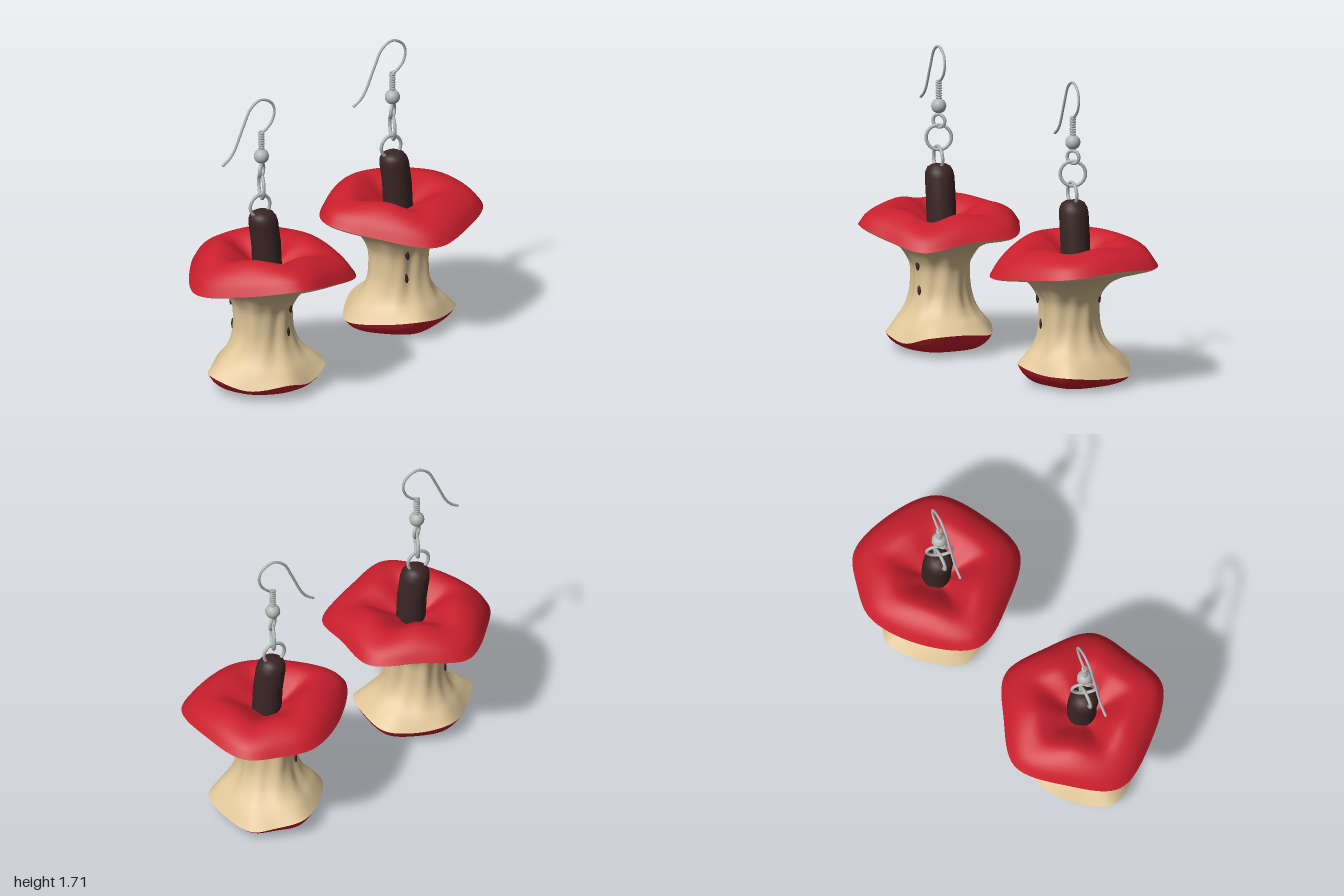
import * as THREE from 'three';

const mat = (name, color) => {
  const m = new THREE.MeshStandardMaterial({ color });
  m.name = name;
  return m;
};
const red = mat('red skin', 0xca1f2d);
const cream = mat('cream flesh', 0xdfc598);
const brown = mat('dark brown stem', 0x3a2524);
const steel = mat('steel wire', 0xb4b5b5);

function add(group, name, geometry, material, x = 0, y = 0, z = 0) {
  const mesh = new THREE.Mesh(geometry, material);
  mesh.name = name;
  mesh.position.set(x, y, z);
  group.add(mesh);
  return mesh;
}

// Closed surface of rings: point(column, t) for t from 0 to 1, smooth across the seam
function ringSurface(columns, rows, point) {
  const pos = [], index = [];
  for (let j = 0; j <= rows; j++) {
    for (let i = 0; i < columns; i++) pos.push(...point(i, j / rows));
  }
  for (let j = 0; j < rows; j++) {
    for (let i = 0; i < columns; i++) {
      const a = j * columns + i, b = j * columns + (i + 1) % columns;
      index.push(a, b, a + columns, b, b + columns, a + columns);
    }
  }
  const g = new THREE.BufferGeometry();
  g.setAttribute('position', new THREE.Float32BufferAttribute(pos, 3));
  g.setIndex(index);
  g.computeVertexNormals();
  return g;
}

const curve = (pts, closed = false) =>
  new THREE.CatmullRomCurve3(pts.map(p => new THREE.Vector3(...p)), closed);

// Profiles: [share of top rim, share of bottom rim, height]
const topProfile = curve([[0, 0, 0.69], [0.17, 0, 0.7], [0.3, 0, 0.735], [0.45, 0, 0.775],
  [0.6, 0, 0.795], [0.77, 0, 0.772], [0.91, 0, 0.725], [1, 0, 0.662]]);
const fleshProfile = curve([[1, 0, 0.662], [0.95, 0, 0.652], [0.75, 0, 0.638], [0.5, 0, 0.62],
  [0.27, 0, 0.58], [0.1, 0, 0.52], [0, 0, 0.45], [0, 0, 0.34], [0, 0.12, 0.265],
  [0, 0.35, 0.205], [0, 0.65, 0.16], [0, 1, 0.1]]);
const bottomProfile = curve([[0, 1, 0.1], [0, 0.92, 0.06], [0, 0.77, 0.022], [0, 0.57, 0.002],
  [0, 0.38, 0.002], [0, 0.18, 0.035], [0, 0, 0.07]]);

// Uneven radius of the eaten core
const coreRadius = (a, y, phase) => 0.163 * (1 + 0.05 * Math.cos(5 * a + phase)
  + 0.035 * Math.sin(3 * a - phase + 4 * y) + 0.025 * Math.cos(11 * a + 9 * y));

// outline rows: [angle in degrees, top radius, top height, bottom radius, bottom height]
// seeds: [angle in degrees, height]
function makeEarring(name, outline, seeds, phase, coreZ) {
  const group = new THREE.Group();
  group.name = name;
  const rim = (r, y) => curve(outline.map(o => {
    const a = THREE.MathUtils.degToRad(o[0]);
    return [Math.cos(a) * o[r], o[y], Math.sin(a) * o[r]];
  }), true);
  const columns = 90;
  const sample = c => Array.from({ length: columns }, (_, i) => c.getPoint(i / columns));
  const top = sample(rim(1, 2)), base = sample(rim(3, 4));

  // Skin cap with swells between its corners, eaten core and skin underside
  const skin = profile => (i, t) => {
    const p = profile.getPoint(t), T = top[i], B = base[i];
    const swell = Math.sin(Math.PI * p.x) * 0.45 * (0.45 - Math.hypot(T.x, T.z));
    const y = p.z + p.x ** 2 * (T.y - 0.67) + p.y ** 6 * (B.y - 0.1) + swell;
    return [T.x * p.x + B.x * p.y, Math.max(0, y), T.z * p.x + B.z * p.y];
  };
  const flesh = (i, t) => {
    const p = fleshProfile.getPoint(t), T = top[i], B = base[i];
    const a = Math.atan2(T.z, T.x), share = 1 - p.x - p.y;
    const r = coreRadius(a, p.z, phase);
    return [T.x * p.x + B.x * p.y + Math.cos(a) * r * share,
      p.z + p.x ** 2 * (T.y - 0.67) + p.y ** 2 * (B.y - 0.1),
      T.z * p.x + B.z * p.y + (Math.sin(a) * r + coreZ) * share];
  };
  add(group, 'topSkin', ringSurface(columns, 24, skin(topProfile)), red);
  add(group, 'core', ringSurface(columns, 40, flesh), cream);
  add(group, 'bottomSkin', ringSurface(columns, 20, skin(bottomProfile)), red);

  // Seeds showing through the core
  for (const [deg, y] of seeds) {
    const a = THREE.MathUtils.degToRad(deg);
    const r = coreRadius(a, y, phase) + (y > 0.45 ? 0.012 : 0.001);
    const seed = add(group, 'seed', new THREE.SphereGeometry(1, 12, 10), brown,
      Math.cos(a) * r, y, Math.sin(a) * r + coreZ);
    seed.scale.set(0.012, 0.029, 0.008);
    seed.rotation.set(0, Math.PI / 2 - a, 0.12);
  }

  // Leaning stem with a rounded top
  const stem = new THREE.LatheGeometry([[0.082, 0], [0.082, 0.15], [0.082, 0.27], [0.077, 0.3],
    [0.064, 0.325], [0.04, 0.338], [0, 0.342]].map(p => new THREE.Vector2(...p)), 32);
  const v = stem.attributes.position;
  for (let i = 0; i < v.count; i++) {
    const x = v.getX(i), y = v.getY(i);
    v.setXYZ(i, x + 0.022 - 0.35 * y * y, y + 0.1 * x * y / 0.34, v.getZ(i));
  }
  stem.computeVertexNormals();
  add(group, 'stem', stem, brown, 0, 0.685, 0);

  // Linked rings: [x, y, radius, turn]
  for (const [x, y, r, turn] of [[-0.025, 1.058, 0.064, 0], [-0.016, 1.174, 0.07, 1.2],
    [-0.014, 1.268, 0.036, 0.7]]) {
    add(group, 'ring', new THREE.TorusGeometry(r, 0.0095, 10, 32), steel, x, y, 0).rotation.y = turn;
  }

  // Bead, wire coil and ear hook
  add(group, 'bead', new THREE.SphereGeometry(0.042, 24, 16), steel, -0.016, 1.352, 0);
  const turns = 8, coil = [];
  for (let i = 0; i <= turns * 10; i++) {
    const a = i / 10 * Math.PI * 2;
    coil.push([0.011 * Math.cos(a), 0.115 * i / (turns * 10), 0.011 * Math.sin(a)]);
  }
  add(group, 'coil', new THREE.TubeGeometry(curve(coil), 160, 0.007, 6), steel, -0.016, 1.383, 0);
  const hook = curve([[-0.016, 1.37, 0], [-0.016, 1.485, 0], [0.012, 1.503, 0], [0.053, 1.545, 0],
    [0.07, 1.605, 0], [0.049, 1.657, 0], [-0.018, 1.688, 0], [-0.085, 1.652, 0],
    [-0.135, 1.555, 0], [-0.2, 1.415, 0], [-0.235, 1.375, 0], [-0.27, 1.352, 0]]);
  add(group, 'hook', new THREE.TubeGeometry(hook, 80, 0.0075, 8), steel);
  add(group, 'hookTip', new THREE.SphereGeometry(0.0075, 8, 6), steel, -0.27, 1.352, 0);
  return group;
}

export function createModel() {
  const model = new THREE.Group();
  model.name = 'appleCoreEarrings';
  const right = makeEarring('rightEarring', [
    [-140, 0.41, 0.67, 0.29, 0.08], [-100, 0.475, 0.67, 0.31, 0.11], [-65, 0.44, 0.7, 0.29, 0.09],
    [-32, 0.5, 0.68, 0.33, 0.1], [0, 0.455, 0.68, 0.32, 0.12], [33, 0.51, 0.64, 0.34, 0.11],
    [64, 0.45, 0.68, 0.3, 0.06], [96, 0.47, 0.72, 0.31, 0.09], [140, 0.4, 0.67, 0.3, 0.06],
    [180, 0.45, 0.63, 0.35, 0.11]],
  [[67, 0.335], [67, 0.48], [-143, 0.345], [-143, 0.485]], 0.4, 0);
  right.position.set(-0.55, 0.012, 0.158);
  const left = makeEarring('leftEarring', [
    [-140, 0.4, 0.69, 0.28, 0.09], [-95, 0.44, 0.69, 0.33, 0.11], [-68, 0.45, 0.69, 0.31, 0.08],
    [-44, 0.49, 0.69, 0.33, 0.06], [-10, 0.455, 0.71, 0.31, 0.07], [26, 0.49, 0.69, 0.34, 0.09],
    [60, 0.455, 0.66, 0.3, 0.09], [95, 0.485, 0.63, 0.325, 0.12], [137, 0.41, 0.67, 0.29, 0.1],
    [178, 0.47, 0.71, 0.32, 0.08]],
  [[106, 0.335], [106, 0.48], [-141, 0.335], [-62, 0.48]], 1.6, 0.03);
  left.position.set(0.54, 0, -0.185);
  model.add(right, left);
  return model;
}
